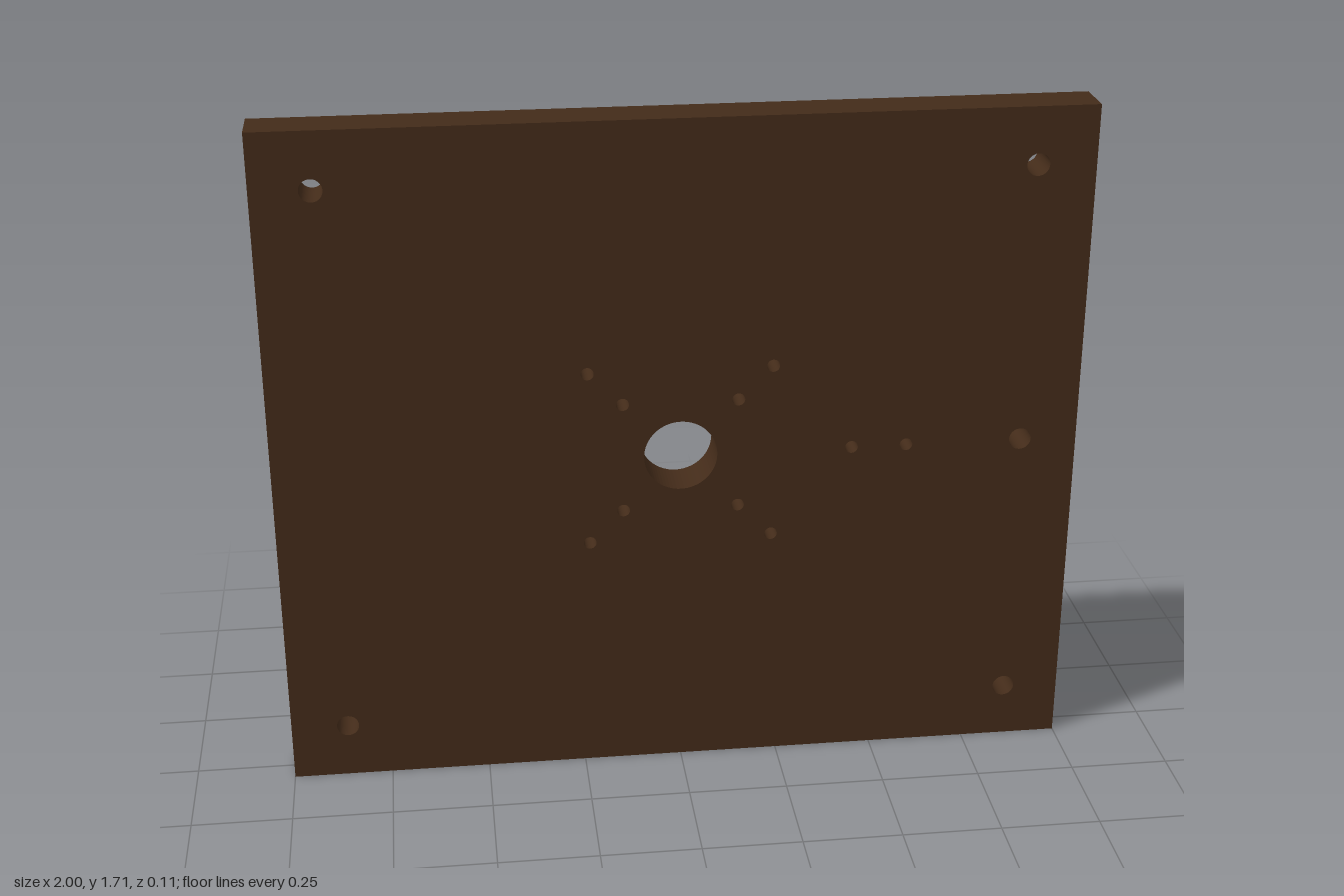
import * as THREE from 'three';

const WIDTH = 2, HEIGHT = 1.714, DEPTH = 0.114;
const MID = HEIGHT / 2;
const EDGE = 0.1; // width of the strip that carries the side holes

// Extruded rectangle with round holes, each given as [x, y, radius]
function drilledPanel(x0, x1, height, depth, holes) {
  const shape = new THREE.Shape();
  shape.moveTo(x0, 0).lineTo(x1, 0).lineTo(x1, height).lineTo(x0, height).closePath();
  for (const [x, y, r] of holes) {
    shape.holes.push(new THREE.Path().absarc(x, y, r, 0, Math.PI * 2, true));
  }
  return new THREE.ExtrudeGeometry(shape, { depth, bevelEnabled: false, curveSegments: 32 });
}

export function createModel() {
  const group = new THREE.Group();
  group.name = 'mountingPlate';
  const material = new THREE.MeshStandardMaterial({ color: 0x432b19 });

  // Central bore, the row towards the left edge
  const holes = [
    [0, MID, 0.091],
    [0.428, MID, 0.016],
    [0.566, MID, 0.016],
    [0.857, MID, 0.028],
  ];
  // Corner holes and two square bolt patterns
  for (const sx of [-1, 1]) {
    for (const sy of [-1, 1]) {
      holes.push([sx * 0.857, MID + sy * 0.714, 0.028]);
      holes.push([sx * 0.143, MID + sy * 0.143, 0.016]);
      holes.push([sx * 0.228, MID + sy * 0.228, 0.016]);
    }
  }

  // Main plate
  const plate = new THREE.Mesh(
    drilledPanel(-WIDTH / 2, WIDTH / 2 - EDGE, HEIGHT, DEPTH, holes), material);
  plate.name = 'plate';
  plate.position.z = -DEPTH / 2;
  group.add(plate);

  // Left edge with two small blind holes, bottoming out on the main plate
  const edge = new THREE.Mesh(
    drilledPanel(-DEPTH / 2, DEPTH / 2, HEIGHT, EDGE,
      [[0, MID - 0.571, 0.009], [0, MID + 0.571, 0.009]]), material);
  edge.name = 'drilledEdge';
  edge.rotation.y = Math.PI / 2;
  edge.position.x = WIDTH / 2 - EDGE;
  group.add(edge);

  return group;
}
